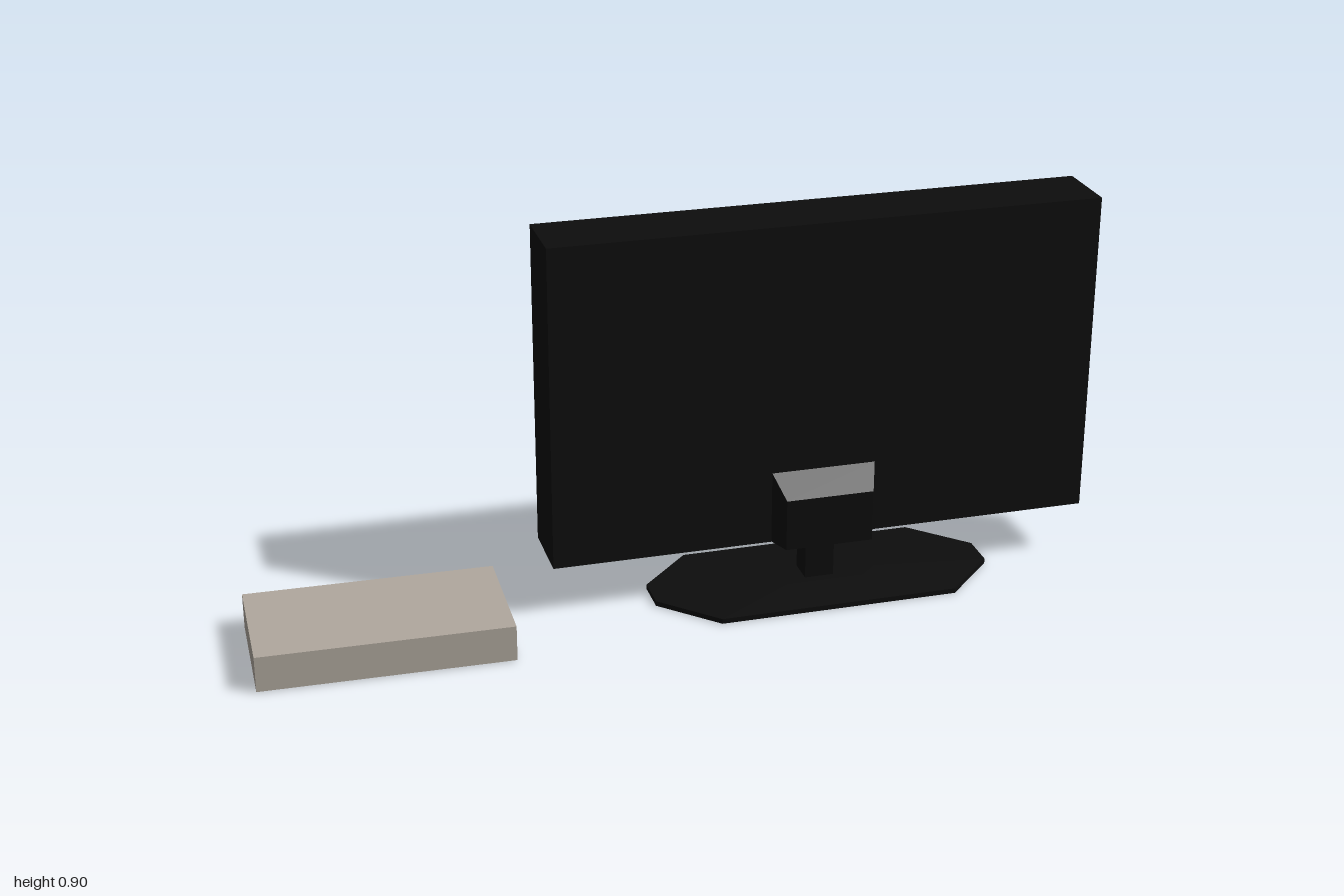
import * as THREE from 'three';

const black = new THREE.MeshStandardMaterial({ name: 'black plastic', color: 0x0d0d0d });
const glass = new THREE.MeshStandardMaterial({ name: 'blue grey glass', color: 0x45525e });
const beige = new THREE.MeshStandardMaterial({ name: 'beige casing', color: 0xb0a89e });

function add(parent, name, geometry, material, x = 0, y = 0, z = 0) {
  const mesh = new THREE.Mesh(geometry, material);
  mesh.name = name;
  mesh.position.set(x, y, z);
  parent.add(mesh);
  return mesh;
}

// Box given by its lower and upper limits on each axis
function block(parent, name, material, [x0, x1], [y0, y1], [z0, z1]) {
  return add(parent, name, new THREE.BoxGeometry(x1 - x0, y1 - y0, z1 - z0), material,
    (x0 + x1) / 2, (y0 + y1) / 2, (z0 + z1) / 2);
}

const rectangle = (x0, x1, y0, y1) =>
  [[x0, y0], [x1, y0], [x1, y1], [x0, y1]].map((p) => new THREE.Vector2(...p));

// Flat octagonal slab whose upper outline is scaled by topScale
function octagonSlab(y0, y1, bottomScale, topScale) {
  const outline = [[0.41, 0.043], [0.285, 0.168], [-0.285, 0.168], [-0.41, 0.043],
    [-0.41, -0.043], [-0.285, -0.168], [0.285, -0.168], [0.41, -0.043]];
  const shape = new THREE.Shape(outline.map(([x, z]) => new THREE.Vector2(x, z)));
  const geometry = new THREE.ExtrudeGeometry(shape, { depth: y1 - y0, bevelEnabled: false });
  geometry.rotateX(-Math.PI / 2).translate(0, y0, 0);
  const p = geometry.attributes.position;
  for (let i = 0; i < p.count; i++) {
    const s = p.getY(i) > (y0 + y1) / 2 ? topScale : bottomScale;
    p.setXYZ(i, p.getX(i) * s, p.getY(i), p.getZ(i) * s);
  }
  geometry.computeVertexNormals();
  return geometry;
}

export function createModel() {
  const model = new THREE.Group();
  model.name = 'televisionAndBox';

  // Television: the screen faces -z
  const tv = new THREE.Group();
  tv.name = 'television';
  model.add(tv);
  block(tv, 'cabinet', black, [-0.3, 1], [0.13, 0.905], [-0.12, 0.022]);
  const frame = new THREE.Shape(rectangle(-0.3, 1, 0.13, 0.905));
  frame.holes.push(new THREE.Path(rectangle(-0.24, 0.94, 0.218, 0.85).reverse()));
  add(tv, 'screenFrame', new THREE.ExtrudeGeometry(frame, { depth: 0.025, bevelEnabled: false }),
    black, 0, 0, -0.145);
  block(tv, 'screen', glass, [-0.24, 0.94], [0.218, 0.85], [-0.122, -0.118]);

  // Mounting hump: a box tapered at the sides and sloped at the top
  const hump = new THREE.BoxGeometry(0.25, 0.175, 0.053).toNonIndexed();
  const p = hump.attributes.position;
  for (let i = 0; i < p.count; i++) {
    if (p.getZ(i) < 0) continue;
    p.setX(i, p.getX(i) * 0.84);
    if (p.getY(i) > 0) p.setY(i, p.getY(i) - 0.05);
  }
  hump.computeVertexNormals();
  add(tv, 'mountHump', hump, black, 0.346, 0.2185, 0.0485);

  // Stand
  block(tv, 'standNeck', black, [0.31, 0.38], [0.012, 0.14], [-0.054, 0.011]);
  add(tv, 'standBase', octagonSlab(0, 0.012, 1, 1), black, 0.352, 0, -0.022);
  add(tv, 'standBaseTop', octagonSlab(0.012, 0.018, 0.99, 0.33), black, 0.352, 0, -0.022);

  // Set-top box, turned slightly, with a small plate on its -z side
  const box = new THREE.Group();
  box.name = 'setTopBox';
  box.position.set(-0.708, 0, 0.032);
  box.rotation.y = -0.0215;
  model.add(box);
  block(box, 'boxCasing', beige, [-0.289, 0.289], [0.002, 0.087], [-0.151, 0.151]);
  block(box, 'boxPlate', glass, [0.135, 0.19], [0.042, 0.062], [-0.154, -0.15]);

  return model;
}
